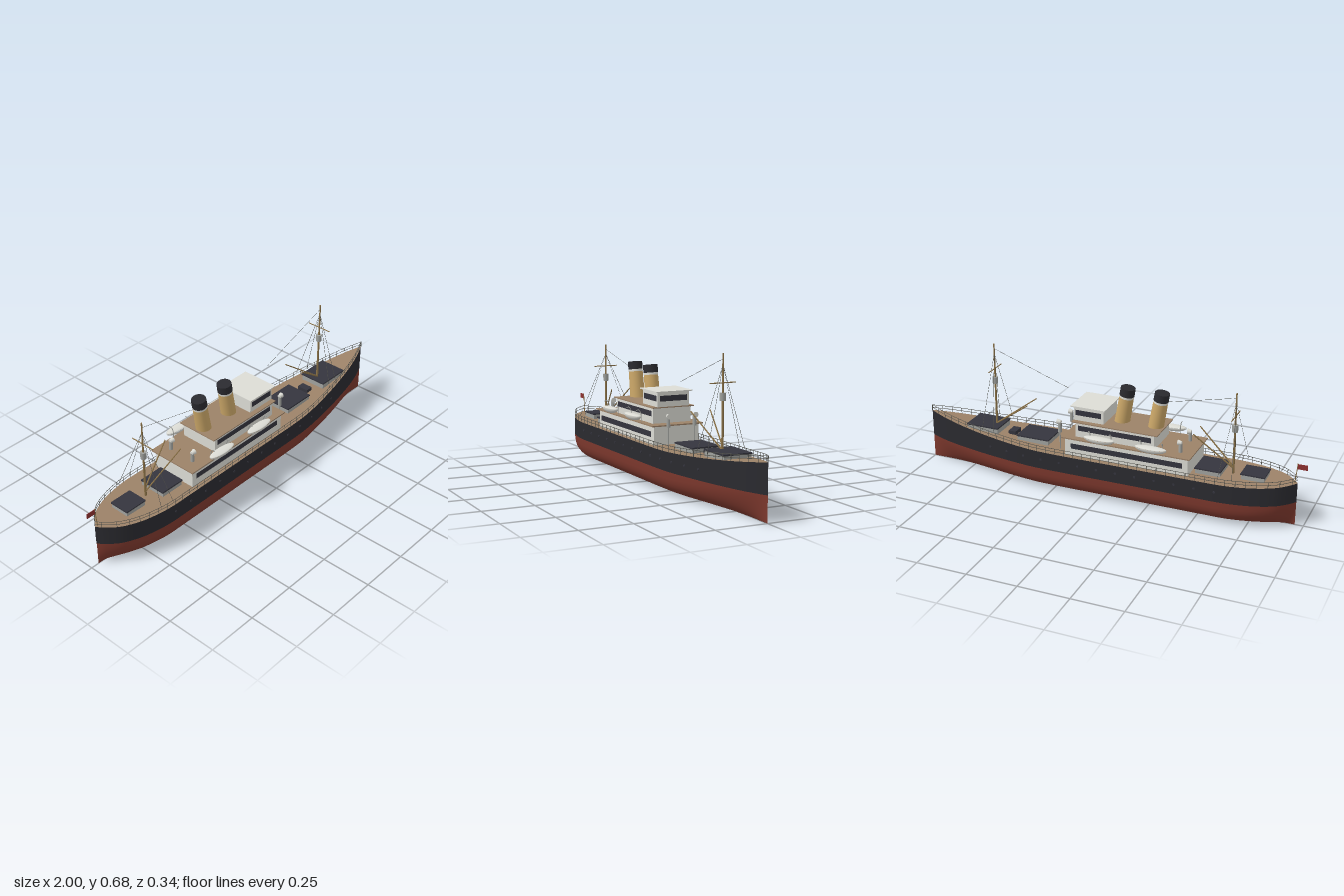
import * as THREE from 'three';
import { mergeGeometries } from 'three/addons/utils/BufferGeometryUtils.js';

const mat = (name, color, side = THREE.FrontSide) => {
  const m = new THREE.MeshStandardMaterial({ color, side });
  m.name = name;
  return m;
};
const V = (x, y, z) => new THREE.Vector3(x, y, z);

export function createModel() {
  const ship = new THREE.Group();
  ship.name = 'steamship';
  const black = mat('black', 0x2a2a2f), red = mat('antifouling red', 0x7d382d);
  const white = mat('white', 0xdcdcd5), planks = mat('deck planking', 0x9c8268);
  const buff = mat('funnel buff', 0xcba768), wood = mat('spar wood', 0x8c7348);
  const dark = mat('dark glass and canvas', 0x35353e), grey = mat('grey metal', 0xa0a29e);
  const iron = mat('rail iron', 0x55554f), flagRed = mat('flag red', 0x8c3030, THREE.DoubleSide);

  const add = (name, geo, m, parent = ship) => {
    const mesh = new THREE.Mesh(geo, m);
    mesh.name = name;
    parent.add(mesh);
    return mesh;
  };
  // Box from its limits, symmetric in z
  const block = (name, m, x0, x1, y0, y1, half) =>
    add(name, new THREE.BoxGeometry(x1 - x0, y1 - y0, half * 2), m)
      .position.set((x0 + x1) / 2, (y0 + y1) / 2, 0);
  // Round rod between two points
  const rod = (a, b, r0, r1 = r0, sides = 5) => {
    const d = b.clone().sub(a);
    const g = new THREE.CylinderGeometry(r1, r0, d.length(), sides);
    g.applyQuaternion(new THREE.Quaternion().setFromUnitVectors(V(0, 1, 0), d.normalize()));
    return g.translate((a.x + b.x) / 2, (a.y + b.y) / 2, (a.z + b.z) / 2);
  };

  // Hull plan (x, half beam) and sheer line
  const plan = new THREE.SplineCurve([
    [-0.958, 0], [-0.93, 0.037], [-0.877, 0.083], [-0.8, 0.118], [-0.72, 0.138], [-0.63, 0.149],
    [-0.5, 0.15], [-0.1, 0.15], [0.25, 0.15], [0.4, 0.142], [0.594, 0.113], [0.75, 0.081],
    [0.86, 0.053], [0.94, 0.026], [1, 0],
  ].map(p => new THREE.Vector2(...p))).getPoints(84);
  const beam = x => {
    const i = Math.max(1, plan.findIndex(p => p.x >= x));
    const a = plan[i - 1], b = plan[i];
    return THREE.MathUtils.lerp(a.y, b.y, (x - a.x) / (b.x - a.x));
  };
  const sheer = x => 0.21 + (x > 0.2 ? 0.05 * ((x - 0.2) / 0.8) ** 2 : 0)
    + (x < -0.5 ? 0.008 * ((x + 0.5) / 0.46) ** 2 : 0);

  // Skin over cross-sections; each section is a list of [y, z]
  const loft = section => {
    const pos = [], idx = [];
    let n = 0;
    plan.forEach((p, i) => {
      const s = section(p.x, Math.max(0, p.y));
      n = s.length;
      s.forEach(([y, z]) => pos.push(p.x, y, z));
      if (i) for (let k = 0; k < n - 1; k++) {
        const a = (i - 1) * n + k, c = i * n + k;
        idx.push(a, a + 1, c, a + 1, c + 1, c);
      }
    });
    const g = new THREE.BufferGeometry();
    g.setAttribute('position', new THREE.Float32BufferAttribute(pos, 3));
    g.setIndex(idx);
    g.computeVertexNormals();
    return g;
  };
  const WL = 0.12;
  add('leftTopsides', loft((x, w) => [[sheer(x), w], [WL, w]]), black);
  add('rightTopsides', loft((x, w) => [[WL, -w], [sheer(x), -w]]), black);
  add('mainDeck', loft((x, w) => [[sheer(x), -w], [sheer(x), w]]), planks);
  // Round bilge amidships, sharper towards both ends
  add('lowerHull', loft((x, w) => {
    const n = 1.1 + 1.8 * (w / 0.15) ** 1.5, s = [];
    for (let k = -10; k <= 10; k++) {
      const a = Math.abs(k) / 10 * Math.PI / 2;
      const z = w * Math.sin(a) ** (2 / n), y = WL * (1 - Math.cos(a) ** (2 / n));
      s.push([Math.abs(k) === 10 ? WL : y, -Math.sign(k) * z]);
    }
    return s;
  }), red);

  // Rails and stanchions
  const rails = [];
  for (const side of [1, -1]) {
    for (const h of [0.015, 0.03]) {
      const path = plan.map(p => V(p.x, sheer(p.x) + h, side * Math.max(0, p.y - 0.002)));
      rails.push(new THREE.TubeGeometry(new THREE.CatmullRomCurve3(path), 120, 0.0014, 4));
    }
    for (let x = -0.94; x < 1; x += 0.0485) {
      const z = side * (beam(x) - 0.002);
      rails.push(rod(V(x, sheer(x), z), V(x, sheer(x) + 0.03, z), 0.0014, 0.0014, 4));
    }
  }
  add('deckRails', mergeGeometries(rails), iron);

  // Portholes
  const ports = [];
  for (const side of [1, -1]) for (let x = -0.6; x < 0.65; x += 0.1)
    ports.push(new THREE.CylinderGeometry(0.006, 0.006, 0.004, 10).rotateX(Math.PI / 2)
      .translate(x, 0.17, side * (beam(x) + 0.0005)));
  add('portholes', mergeGeometries(ports), dark);

  // Superstructure with window bands on both sides
  block('lowerHouse', white, -0.457, 0.179, 0.205, 0.3, 0.12);
  block('lowerHouseWindows', dark, -0.43, 0.147, 0.246, 0.273, 0.1215);
  block('boatDeck', planks, -0.47, 0.193, 0.3, 0.306, 0.135);
  block('upperHouse', white, -0.28, 0.13, 0.306, 0.381, 0.102);
  block('upperHouseWindows', dark, -0.265, 0.115, 0.34, 0.366, 0.1035);
  block('upperDeck', planks, -0.297, 0.147, 0.381, 0.386, 0.11);
  block('bridge', white, -0.012, 0.145, 0.386, 0.457, 0.085);
  block('bridgeSideWindows', dark, 0, 0.135, 0.413, 0.44, 0.0865);
  block('bridgeFrontWindows', dark, 0.14, 0.1465, 0.413, 0.44, 0.073);
  block('bridgeRoof', white, -0.022, 0.158, 0.457, 0.462, 0.097);

  // Raked funnels
  for (const x of [-0.25, -0.075]) {
    const funnel = new THREE.Group();
    funnel.name = 'funnel';
    funnel.position.set(x, 0.38, 0);
    funnel.rotation.z = 0.165;
    ship.add(funnel);
    const ring = (name, m, y0, y1, r0, r1) =>
      add(name, new THREE.CylinderGeometry(r1, r0, y1 - y0, 24), m, funnel).position.y = (y0 + y1) / 2;
    ring('funnelBody', buff, 0, 0.134, 0.038, 0.0355);
    ring('funnelBand', white, 0.134, 0.145, 0.0362, 0.0362);
    ring('funnelTop', black, 0.145, 0.185, 0.0368, 0.0362);
  }

  // Cargo hatches and winch
  for (const [x0, x1, half] of [[-0.813, -0.695, 0.053], [-0.604, -0.474, 0.072],
    [0.294, 0.47, 0.072], [0.578, 0.754, 0.072]]) {
    const y = sheer((x0 + x1) / 2);
    block('hatchCoaming', grey, x0 + 0.003, x1 - 0.003, y - 0.01, y + 0.022, half - 0.003);
    block('hatchCover', dark, x0, x1, y + 0.022, y + 0.029, half);
  }
  block('winch', dark, 0.497, 0.537, 0.21, 0.236, 0.03);

  // Masts with yard, lookout, booms and rigging
  for (const [x, top, yard, aft, boomX, stay] of [
    [0.618, 0.682, 0.551, 1, 0.415, V(0.21, 0.51, 0)],
    [-0.645, 0.62, 0.505, -1, -0.457, V(-0.3, 0.52, 0)]]) {
    const base = sheer(x), name = aft > 0 ? 'fore' : 'main';
    add(name + 'Mast', rod(V(x, base, 0), V(x, top, 0), 0.006, 0.0035, 10), wood);
    add(name + 'Yard', rod(V(x, yard, -0.066), V(x, yard, 0.066), 0.0026, 0.0026, 6), wood);
    add(name + 'Lookout', new THREE.CylinderGeometry(0.015, 0.014, 0.036, 14), grey)
      .position.set(x, yard - 0.062, 0);
    const ropes = [rod(V(x, top - 0.025, 0), stay, 0.0009, 0.0009, 4)];
    for (const s of [1, -1]) {
      add(name + 'Boom', rod(V(x, base + 0.03, s * 0.005), V(boomX, 0.4, s * 0.051), 0.004, 0.003, 6), wood);
      for (const dx of [-0.035, 0.035])
        ropes.push(rod(V(x, top - 0.05, 0), V(x + dx, base + 0.02, s * (beam(x + dx) - 0.004)), 0.0009, 0.0009, 4));
    }
    add(name + 'Rigging', mergeGeometries(ropes), iron);
  }

  // Lifeboats on davits
  const half = new THREE.SphereGeometry(1, 24, 8, 0, Math.PI * 2, Math.PI / 2, Math.PI / 2);
  const dome = new THREE.SphereGeometry(1, 24, 5, 0, Math.PI * 2, 0, Math.PI / 2);
  for (const s of [1, -1]) for (const x of [-0.277, -0.012]) {
    const boat = new THREE.Group();
    boat.name = 'lifeboat';
    boat.position.set(x, 0.334, s * 0.142);
    ship.add(boat);
    add('boatHull', half, white, boat).scale.set(0.081, 0.025, 0.026);
    add('boatCover', dome, white, boat).scale.set(0.08, 0.006, 0.025);
    for (const dx of [-0.055, 0.055]) {
      const arm = new THREE.CatmullRomCurve3([V(x + dx, 0.305, s * 0.122), V(x + dx, 0.345, s * 0.124),
        V(x + dx, 0.363, s * 0.135), V(x + dx, 0.362, s * 0.15)]);
      add('davit', new THREE.TubeGeometry(arm, 12, 0.0022, 5), grey);
    }
  }

  // Cowl ventilators facing forward
  for (const s of [1, -1]) for (const [x, foot] of [[0.228, 0.21], [-0.402, 0.3]]) {
    const vent = new THREE.Group();
    vent.name = 'ventilator';
    ship.add(vent);
    add('ventPost', rod(V(x, foot, s * 0.07), V(x, 0.302, s * 0.07), 0.003), grey, vent);
    add('ventShaft', rod(V(x, 0.3, s * 0.07), V(x, 0.352, s * 0.07), 0.0095, 0.0085, 14), grey, vent);
    add('ventCowl', rod(V(x - 0.006, 0.354, s * 0.07), V(x + 0.014, 0.354, s * 0.07), 0.009, 0.0135, 16), white, vent);
  }

  // Stern flag
  add('flagStaff', rod(V(-0.944, 0.215, 0), V(-0.953, 0.318, 0), 0.002), wood);
  add('flag', new THREE.BoxGeometry(0.048, 0.026, 0.002), flagRed).position.set(-0.976, 0.303, 0);

  return ship;
}
